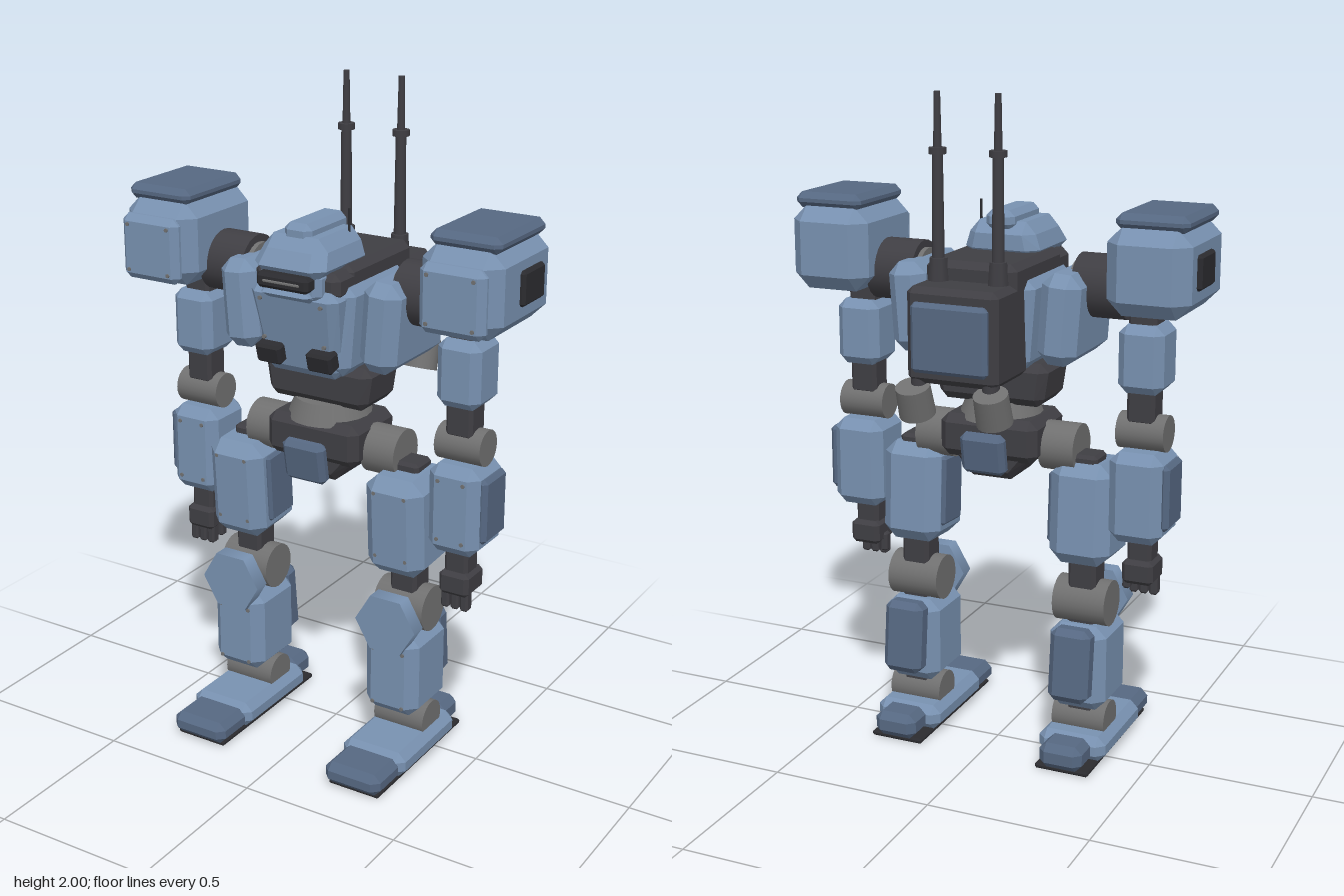
import * as THREE from 'three';
import { ConvexGeometry } from 'three/addons/geometries/ConvexGeometry.js';

const mat = (name, color) => Object.assign(new THREE.MeshStandardMaterial({ color }), { name });

export function createModel() {
  const armor = mat('blue armor', 0x7891b0);
  const plate = mat('dark blue plate', 0x566882);
  const frame = mat('dark frame', 0x3f3e43);
  const joint = mat('grey joint', 0x707070);
  const black = mat('black trim', 0x2b2b2f);
  const model = new THREE.Group();
  model.name = 'walkingRobot';

  const add = (parent, name, geo, material, x, y, z) => {
    const m = new THREE.Mesh(geo, material);
    m.name = name;
    m.position.set(x, y, z);
    parent.add(m);
    return m;
  };

  // Chamfered box given by its ranges; top and bottom can be narrowed, o.rx / o.rz tilt it
  const box = (parent, name, material, [x0, x1], [y0, y1], [z0, z1], c, o = {}) => {
    const a = (x1 - x0) / 2, b = (y1 - y0) / 2, d = (z1 - z0) / 2, pts = [];
    for (const i of [-1, 1]) for (const j of [-1, 1]) for (const k of [-1, 1]) {
      for (const [x, y, z] of [[a, b - c, d - c], [a - c, b, d - c], [a - c, b - c, d]]) {
        const sx = j < 0 ? o.bottomX ?? 1 : o.topX ?? 1;
        const front = k > 0 ? (j < 0 ? o.bottomZ ?? 0 : o.topZ ?? 0) : 0;
        pts.push(new THREE.Vector3(i * x * sx, j * y, k * z + front));
      }
    }
    const m = add(parent, name, new ConvexGeometry(pts), material, (x0 + x1) / 2, (y0 + y1) / 2, (z0 + z1) / 2);
    m.rotation.set(o.rx ?? 0, 0, o.rz ?? 0);
    return m;
  };

  // Cylinder between radii, standing or lying along x
  const cyl = (parent, name, material, rTop, rBottom, length, x, y, z, alongX = false, sides = 20) => {
    const geo = new THREE.CylinderGeometry(rTop, rBottom, length, sides);
    if (alongX) geo.rotateZ(Math.PI / 2);
    return add(parent, name, geo, material, x, y, z);
  };

  // Four bolt heads in a rectangle on a front face
  const bolts = (parent, x, y, z, dx, dy, zTop = z) => {
    const geo = new THREE.CylinderGeometry(0.006, 0.006, 0.008, 8).rotateX(Math.PI / 2);
    for (const i of [-1, 1]) for (const j of [-1, 1])
      add(parent, 'bolt', geo, joint, x + i * dx, y + j * dy, j > 0 ? zTop : z);
  };

  // ---- Torso ----
  const torso = new THREE.Group();
  torso.name = 'torso';
  model.add(torso);
  box(torso, 'torsoCore', armor, [-0.165, 0.165], [1.21, 1.48], [-0.14, 0.19], 0.03, { bottomX: 0.9 });
  box(torso, 'chestPlate', armor, [-0.145, 0.145], [1.2, 1.47], [0.1, 0.245], 0.025, { bottomX: 0.85, bottomZ: -0.05 });
  bolts(torso, 0, 1.37, 0.226, 0.1, 0.06, 0.245);
  box(torso, 'collar', frame, [-0.14, 0.14], [1.42, 1.53], [-0.2, 0.15], 0.02);
  box(torso, 'collarFront', frame, [-0.14, 0.14], [1.44, 1.52], [0.08, 0.22], 0.02);
  box(torso, 'waist', frame, [-0.18, 0.18], [1.09, 1.22], [-0.07, 0.12], 0.025, { bottomX: 0.93 });
  cyl(torso, 'waistRing', joint, 0.105, 0.13, 0.06, 0, 1.065, 0.03);
  for (const s of [-1, 1]) {
    box(torso, 'chestVent', black, [s * 0.085 - 0.042, s * 0.085 + 0.042], [1.235, 1.295], [0.185, 0.235], 0.008, { rx: 0.25 });
    box(torso, 'chestSide', armor, [s * 0.235 - 0.06, s * 0.235 + 0.06], [1.235, 1.5], [-0.14, 0.18], 0.035, { rz: -s * 0.07 });
  }

  // ---- Head ----
  const head = new THREE.Group();
  head.name = 'head';
  model.add(head);
  box(head, 'helmet', armor, [-0.118, 0.118], [1.5, 1.615], [0, 0.275], 0.035, { topX: 0.88, topZ: -0.03 });
  box(head, 'face', armor, [-0.1, 0.1], [1.44, 1.53], [0.08, 0.255], 0.02);
  box(head, 'crest', armor, [-0.045, 0.045], [1.59, 1.648], [0, 0.215], 0.018);
  box(head, 'visor', black, [-0.085, 0.085], [1.475, 1.52], [0.2, 0.29], 0.01);
  box(head, 'visorSlit', joint, [-0.06, 0.06], [1.494, 1.502], [0.286, 0.293], 0.002);
  box(head, 'chin', armor, [-0.08, 0.08], [1.44, 1.472], [0.2, 0.28], 0.012, { bottomZ: -0.02 });
  cyl(head, 'headAerial', black, 0.004, 0.004, 0.1, 0.08, 1.62, 0.06, false, 8);

  // ---- Backpack with antennas and thrusters ----
  const pack = new THREE.Group();
  pack.name = 'backpack';
  model.add(pack);
  box(pack, 'packBody', frame, [-0.14, 0.14], [1.2, 1.475], [-0.325, -0.1], 0.018);
  box(pack, 'packPlate', plate, [-0.117, 0.117], [1.235, 1.435], [-0.347, -0.315], 0.012);
  for (const s of [-1, 1]) {
    const x = s * 0.092, z = -0.205;
    cyl(pack, 'antennaBase', frame, 0.026, 0.032, 0.08, x, 1.5, z, false, 8);
    cyl(pack, 'antennaMast', frame, 0.015, 0.018, 0.32, x, 1.68, z, false, 12);
    cyl(pack, 'antennaRing', frame, 0.025, 0.025, 0.018, x, 1.838, z, false, 12);
    cyl(pack, 'antennaTip', frame, 0.009, 0.012, 0.16, x, 1.92, z, false, 10);
    cyl(pack, 'thruster', joint, 0.05, 0.053, 0.092, s * 0.12, 1.147, -0.306).rotation.x = -0.33;
    cyl(pack, 'thrusterNeck', frame, 0.025, 0.025, 0.08, s * 0.11, 1.195, -0.295);
  }

  // ---- Hips ----
  const hips = new THREE.Group();
  hips.name = 'hips';
  model.add(hips);
  box(hips, 'pelvis', frame, [-0.155, 0.155], [0.92, 1.05], [-0.09, 0.15], 0.025);
  box(hips, 'pelvisLower', frame, [-0.12, 0.12], [0.86, 0.95], [-0.07, 0.13], 0.025, { bottomX: 0.65 });
  box(hips, 'frontSkirt', plate, [-0.07, 0.07], [0.865, 0.995], [0.145, 0.19], 0.015, { rx: 0.17 });
  box(hips, 'rearSkirt', plate, [-0.07, 0.07], [0.885, 1.01], [-0.125, -0.08], 0.015, { rx: -0.17 });

  for (const s of [-1, 1]) {
    const side = s > 0 ? 'left' : 'right';
    const range = (a, b) => (s > 0 ? [a, b] : [-b, -a]);

    // ---- Arm ----
    const arm = new THREE.Group();
    arm.name = side + 'Arm';
    model.add(arm);
    cyl(arm, 'shoulderAxle', frame, 0.092, 0.092, 0.15, s * 0.325, 1.45, 0.028, true, 24);
    cyl(arm, 'axleCap', joint, 0.07, 0.07, 0.03, s * 0.25, 1.45, 0.028, true, 24);
    box(arm, 'shoulderPod', armor, range(0.372, 0.62), [1.395, 1.645], [-0.142, 0.205], 0.045);
    box(arm, 'shoulderTop', plate, range(0.395, 0.61), [1.635, 1.682], [-0.112, 0.178], 0.018);
    box(arm, 'shoulderFront', armor, range(0.397, 0.597), [1.41, 1.605], [0.19, 0.238], 0.02);
    bolts(arm, s * 0.497, 1.508, 0.238, 0.07, 0.068);
    box(arm, 'shoulderSidePanel', black, range(0.61, 0.634), [1.472, 1.572], [-0.058, 0.07], 0.008);
    box(arm, 'armCore', frame, range(0.405, 0.49), [1.06, 1.41], [-0.01, 0.075], 0.01);
    box(arm, 'upperArm', armor, range(0.383, 0.52), [1.155, 1.355], [-0.043, 0.107], 0.025);
    cyl(arm, 'elbow', joint, 0.054, 0.054, 0.145, s * 0.45, 1.033, 0.032, true, 24);
    box(arm, 'forearm', armor, range(0.368, 0.532), [0.712, 0.985], [-0.065, 0.118], 0.03);
    bolts(arm, s * 0.45, 0.85, 0.118, 0.04, 0.09);
    box(arm, 'forearmPlate', plate, range(0.522, 0.55), [0.757, 0.955], [-0.042, 0.09], 0.012);
    box(arm, 'wrist', frame, range(0.412, 0.487), [0.63, 0.73], [0, 0.075], 0.01);
    box(arm, 'hand', frame, range(0.402, 0.498), [0.575, 0.648], [-0.018, 0.09], 0.012);
    for (let i = 0; i < 3; i++) {
      const f = box(arm, 'finger', frame, [-0.013, 0.013], [0.527, 0.59], [0.045, 0.078], 0.006);
      f.position.x = s * (0.419 + i * 0.031);
    }
    box(arm, 'thumb', frame, range(0.392, 0.416), [0.545, 0.605], [0.02, 0.05], 0.006);

    // ---- Leg ----
    const leg = new THREE.Group();
    leg.name = side + 'Leg';
    model.add(leg);
    const lx = s * 0.275;
    cyl(leg, 'hipJoint', joint, 0.073, 0.073, 0.11, s * 0.2, 0.96, 0.03, true, 24);
    box(leg, 'legCore', frame, range(0.232, 0.32), [0.1, 0.95], [-0.015, 0.075], 0.01);
    box(leg, 'thigh', armor, range(0.18, 0.37), [0.615, 0.925], [-0.06, 0.155], 0.038, { rx: 0.06 });
    bolts(leg, lx, 0.775, 0.146, 0.05, 0.1, 0.159);
    box(leg, 'thighInnerPlate', plate, range(0.168, 0.19), [0.67, 0.885], [-0.02, 0.105], 0.008, { rx: 0.06 });
    cyl(leg, 'knee', joint, 0.07, 0.07, 0.165, lx, 0.487, 0.032, true, 24);
    const guard = add(leg, 'kneeGuard', new THREE.CylinderGeometry(0.1, 0.1, 0.05, 6)
      .rotateY(Math.PI / 2).rotateX(Math.PI / 2).toNonIndexed(), armor, lx, 0.468, 0.15);
    const xs = guard.geometry.boundingBox ?? (guard.geometry.computeBoundingBox(), guard.geometry.boundingBox);
    guard.scale.set(0.1 / xs.max.x, 0.086 / xs.max.y, 1);
    box(leg, 'shin', armor, range(0.185, 0.365), [0.16, 0.428], [-0.06, 0.155], 0.033);
    bolts(leg, lx, 0.285, 0.155, 0.05, 0.09);
    box(leg, 'calfPlate', plate, range(0.212, 0.338), [0.208, 0.433], [-0.12, -0.045], 0.02, { rx: 0.1 });
    cyl(leg, 'ankle', joint, 0.057, 0.057, 0.168, lx, 0.113, 0.03, true, 24);
    box(leg, 'foot', armor, range(0.168, 0.382), [0.012, 0.092], [-0.09, 0.25], 0.025);
    box(leg, 'toe', plate, range(0.181, 0.369), [0.01, 0.08], [0.225, 0.372], 0.022);
    box(leg, 'heel', plate, range(0.207, 0.343), [0.013, 0.092], [-0.182, -0.07], 0.022);
    box(leg, 'sole', black, range(0.19, 0.36), [0, 0.016], [-0.16, 0.35], 0.005);
  }
  return model;
}
